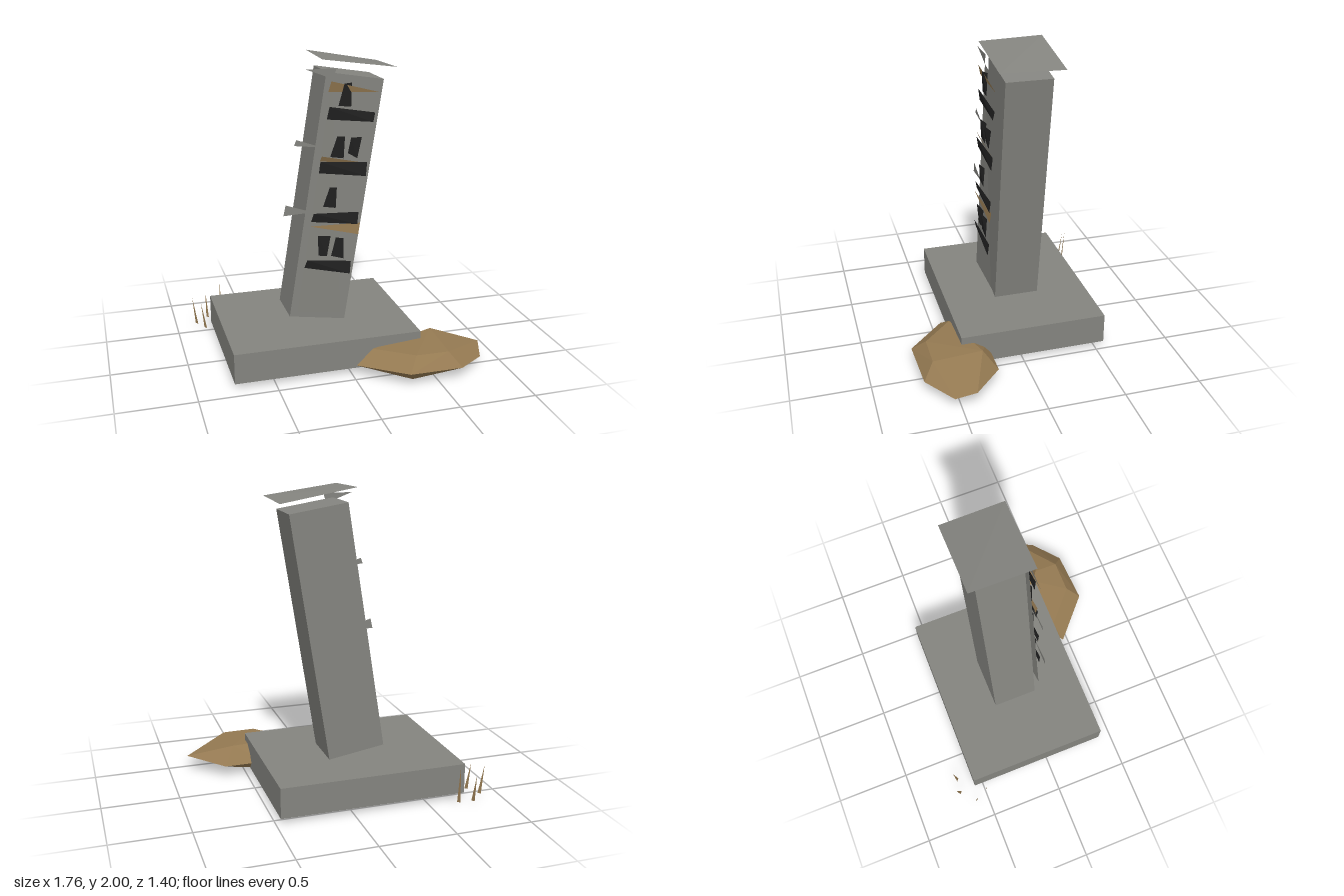
import * as THREE from 'three';
import { ConvexGeometry } from 'three/addons/geometries/ConvexGeometry.js';

// Fan-filled plate; corners listed clockwise as seen from the front
function plate(name, points, material) {
  const g = new THREE.BufferGeometry();
  g.setAttribute('position', new THREE.Float32BufferAttribute(points.flat(), 3));
  const index = [];
  for (let i = 1; i < points.length - 1; i++) index.push(0, i + 1, i);
  g.setIndex(index);
  const flat = g.toNonIndexed();
  flat.computeVertexNormals();
  const mesh = new THREE.Mesh(flat, material);
  mesh.name = name;
  return mesh;
}

export function createModel() {
  const model = new THREE.Group();
  model.name = 'leaningSignTower';

  const make = (name, color) => {
    const m = new THREE.MeshStandardMaterial({ color, side: THREE.DoubleSide });
    m.name = name;
    return m;
  };
  const stone = make('grey stone', 0x84847f);
  const brown = make('earth brown', 0x957a52);
  const black = make('charcoal', 0x212121);

  const box = (name, w, h, d, x, y, z, tilt = 0) => {
    const mesh = new THREE.Mesh(new THREE.BoxGeometry(w, h, d), stone);
    mesh.name = name;
    mesh.position.set(x, y, z);
    mesh.rotation.z = tilt;
    model.add(mesh);
  };

  // Plinth and leaning column
  box('plinth', 1.23, 0.2, 0.97, -0.145, 0.14, -0.075);
  box('column', 0.38, 1.625, 0.3, -0.01, 1.0725, -0.075, -0.1576);

  // Slightly warped cap sheet floating above the column
  model.add(plate('cap', [
    [-0.11, 2.0, -0.28], [0.375, 1.915, -0.28], [0.375, 1.925, 0.13], [-0.11, 1.99, 0.13],
  ], stone));

  // Thin face panel in front of the column
  model.add(plate('facePanel', [
    [-0.045, 1.86, 0.107], [0.265, 1.81, 0.105], [0.015, 0.3, 0.095], [-0.285, 0.345, 0.12],
  ], stone));

  // Dark shelf bands and window shapes: each plate is slightly twisted in depth
  const depths = [0.145, 0.122, 0.13, 0.133];
  const addPlates = (name, list, material) => list.forEach((corners) => {
    model.add(plate(name, corners.map(([x, y], i) => [x, y, depths[i]]), material));
  });
  addPlates('darkBand', [
    [[-0.07, 1.7], [0.235, 1.645], [0.22, 1.587], [-0.085, 1.62]],
    [[-0.13, 1.355], [0.185, 1.328], [0.175, 1.238], [-0.137, 1.28]],
    [[-0.175, 1.02], [0.13, 1.0], [0.12, 0.92], [-0.19, 0.963]],
    [[-0.22, 0.71], [0.08, 0.667], [0.07, 0.582], [-0.238, 0.656]],
  ], black);
  addPlates('darkWindow', [
    [[0.026, 1.84], [0.08, 1.84], [0.074, 1.693], [-0.01, 1.7]],
    [[-0.02, 1.513], [0.037, 1.503], [0.026, 1.365], [-0.063, 1.38]],
    [[0.07, 1.5], [0.148, 1.492], [0.116, 1.36], [0.053, 1.397]],
    [[-0.07, 1.185], [-0.016, 1.175], [-0.026, 1.042], [-0.11, 1.058]],
    [[-0.148, 0.868], [-0.058, 0.852], [-0.085, 0.72], [-0.143, 0.73]],
    [[-0.03, 0.847], [0.03, 0.83], [0.026, 0.693], [-0.058, 0.72]],
  ], black);

  // Brown wedge trims
  addPlates('brownTrim', [
    [[-0.058, 1.857], [0.26, 1.773], [-0.074, 1.79]],
    [[-0.12, 1.39], [0.175, 1.323], [-0.13, 1.355]],
    [[-0.2, 0.937], [0.14, 0.925], [0.127, 0.85]],
  ], brown);

  // Grey splinters on the column's edge
  [
    [[-0.21, 1.93], [-0.016, 1.93], [-0.035, 1.865]],
    [[-0.275, 1.497], [-0.11, 1.44], [-0.29, 1.46]],
    [[-0.35, 1.08], [-0.175, 1.02], [-0.365, 1.01]],
  ].forEach((c) => model.add(plate('splinter', c.map(([x, y]) => [x, y, 0.11]), stone)));

  // Faceted boulder at the plinth's front corner
  const boulder = new THREE.Mesh(new ConvexGeometry([
    [0.02, 0.08, 0.455], [0.295, 0.1, 0.705], [0.65, 0.09, 0.69], [0.84, 0.07, 0.54],
    [0.88, 0.12, 0.41], [0.65, 0.09, 0.215], [0.36, 0.09, 0.215], [0.14, 0.165, 0.42],
    [0.36, 0.183, 0.62], [0.58, 0.2, 0.3], [0.58, 0.18, 0.62], [0.34, 0.005, 0.3],
    [0.34, 0.02, 0.62],
  ].map((p) => new THREE.Vector3(...p))), brown);
  boulder.name = 'boulder';
  model.add(boulder);

  // Grass blades behind the plinth: base x, z, tip x, y, z
  [
    [-0.86, -0.58, -0.885, 0.23, -0.59], [-0.81, -0.49, -0.835, 0.215, -0.5],
    [-0.77, -0.67, -0.775, 0.215, -0.7], [-0.675, -0.66, -0.67, 0.28, -0.68],
  ].forEach(([bx, bz, tx, ty, tz]) => model.add(plate('grassBlade', [
    [tx, ty, tz], [bx + 0.008, 0.03, bz + 0.008], [bx - 0.008, 0.03, bz - 0.008],
  ], brown)));

  return model;
}
